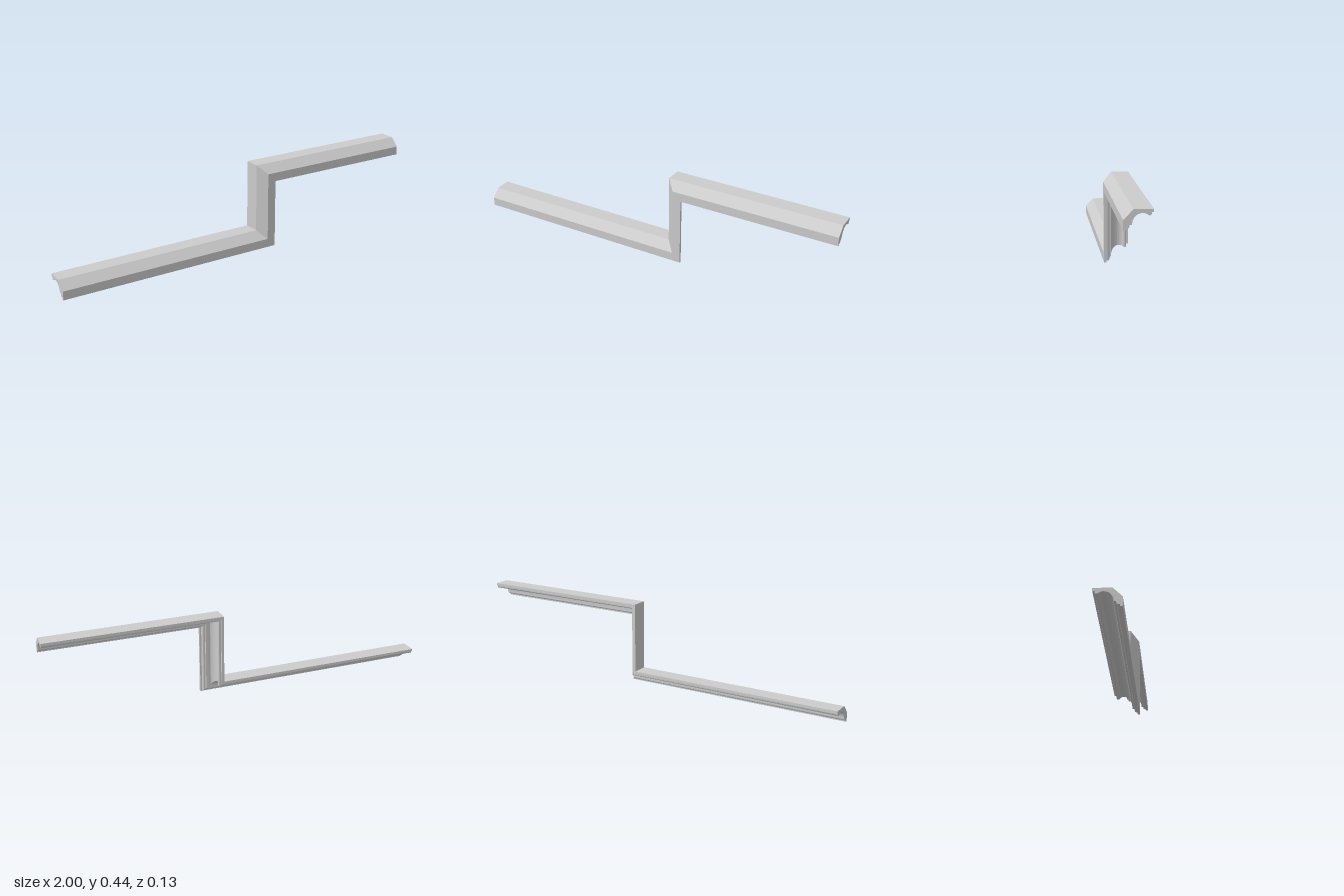
import * as THREE from 'three';
import { toCreasedNormals } from 'three/addons/utils/BufferGeometryUtils.js';

// Moulding section as a closed loop: x = -z (towards the back), y = height.
function mouldingSection() {
  const s = new THREE.Shape();
  s.moveTo(-0.063, 0);
  s.lineTo(-0.051, 0);
  s.lineTo(-0.051, 0.009);
  s.lineTo(-0.044, 0.009);
  s.absarc(-0.044, 0.017, 0.008, -Math.PI / 2, 0, false); // small bead
  s.lineTo(-0.036, 0.0235);
  s.lineTo(-0.026, 0.0235);
  s.absellipse(0.018, 0.0265, 0.044, 0.045, Math.PI, Math.PI / 2, true); // cove
  s.bezierCurveTo(0.035, 0.0715, 0.037, 0.061, 0.047, 0.061);
  s.quadraticCurveTo(0.053, 0.062, 0.054, 0.068);
  s.lineTo(0.054, 0.075);
  s.lineTo(0.063, 0.075);
  s.lineTo(0.063, 0.088);
  s.lineTo(-0.02, 0.088);
  s.lineTo(-0.063, 0.0445);
  const pts = s.getPoints(12).filter((p, i, a) => i === 0 || p.distanceTo(a[i - 1]) > 1e-5);
  if (pts[0].distanceTo(pts[pts.length - 1]) < 1e-5) pts.pop();
  return pts;
}

export function createModel() {
  const section = mouldingSection();
  const n = section.length;
  const stepX = 0.185, rise = 0.353;

  // Path stations: square ends and two mitred corners, each a rule on height h.
  const stations = [
    (h) => [-1, h],
    (h) => [stepX - h, h],
    (h) => [stepX - h, rise + h],
    (h) => [1, rise + h],
  ];
  const rings = stations.map((at) => section.map((p) => [...at(p.y), -p.x]));

  const pos = [];
  const tri = (a, b, c) => pos.push(...a, ...b, ...c);

  // Long faces of the three runs
  for (let i = 0; i < 3; i++) {
    for (let j = 0; j < n; j++) {
      const k = (j + 1) % n;
      const a = rings[i][j], b = rings[i][k], c = rings[i + 1][k], d = rings[i + 1][j];
      tri(a, b, c);
      tri(a, c, d);
    }
  }

  // End caps
  for (const [a, b, c] of THREE.ShapeUtils.triangulateShape(section, [])) {
    tri(rings[3][a], rings[3][b], rings[3][c]);
    tri(rings[0][a], rings[0][c], rings[0][b]);
  }

  const geometry = new THREE.BufferGeometry();
  geometry.setAttribute('position', new THREE.Float32BufferAttribute(pos, 3));
  const moulding = new THREE.Mesh(
    toCreasedNormals(geometry, 0.6),
    new THREE.MeshStandardMaterial({ color: 0xcccccc })
  );
  moulding.name = 'steppedMoulding';

  const group = new THREE.Group();
  group.name = 'mouldingTrim';
  group.add(moulding);
  return group;
}
